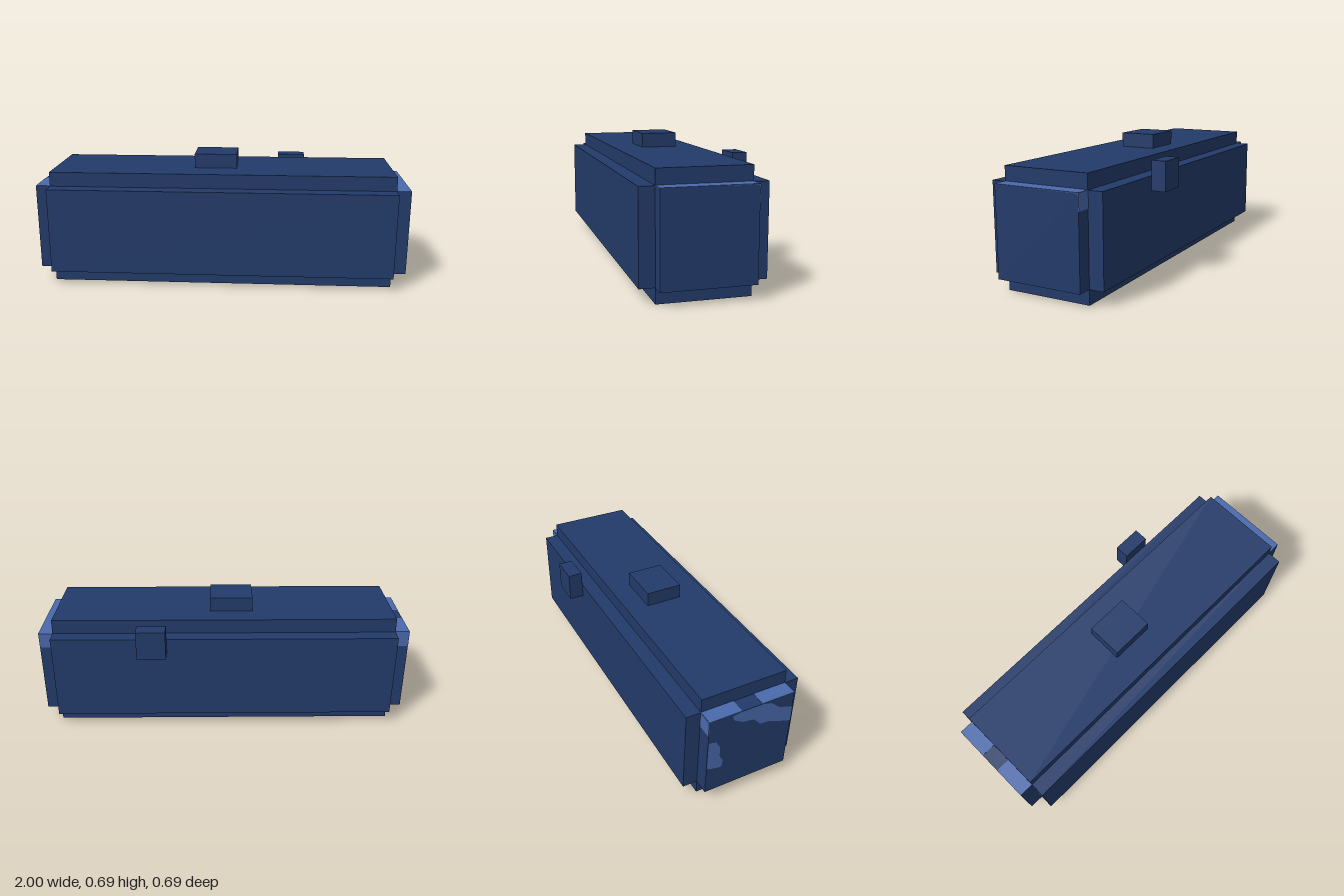
import * as THREE from 'three';

const U = 2 / 26; // one block unit
const T = 0.004; // thickness of painted plates

export function createModel() {
  const group = new THREE.Group();
  const navy = new THREE.MeshStandardMaterial({ name: 'navy blue', color: 0x233b6a });
  const light = new THREE.MeshStandardMaterial({ name: 'light blue', color: 0x4a69ad });

  // box given by its lowest and highest corners
  function box(name, material, a, b) {
    const size = b.map((v, i) => v - a[i]);
    const mesh = new THREE.Mesh(new THREE.BoxGeometry(...size), material);
    mesh.position.set(...a.map((v, i) => v + size[i] / 2));
    mesh.name = name;
    group.add(mesh);
  }
  const blocks = (name, a, b) => box(name, navy, a.map(v => v * U), b.map(v => v * U));

  // main body with raised panels on the four sides
  blocks('body', [-12, 0, -2.5], [12, 8, 3.5]);
  blocks('frontPanel', [-12, 1, 3.5], [12, 7, 4.5]);
  blocks('backPanel', [-12, 1, -3.5], [12, 7, -2.5]);
  blocks('leftEndPanel', [12, 1, -2.5], [13, 7, 3.5]);
  blocks('rightEndPanel', [-13, 1, -2.5], [-12, 7, 3.5]);

  // knobs on the top and the back
  blocks('topKnob', [-2, 8, -1], [1, 9, 1.5]);
  blocks('backKnob', [4, 6, -4.5], [6, 8, -3.5]);

  // light paint on the upper edges of the end panels
  const top = 7 * U, back = -2.5 * U, front = 3.5 * U, inner = 12 * U;
  const paintTop = (x, z0, z1) =>
    box('topEdgePaint', light, [x, top - T / 2, z0], [x + U, top + T / 2, z1]);
  paintTop(inner, back, front);
  paintTop(-1, back, -0.02);
  paintTop(-1, 0.09, front);

  // light paint at the upper back corners of the end panels
  for (const x of [inner, -1]) {
    box('cornerPaint', light, [x, 0.455, back - T / 2], [x + U, top, back + T / 2]);
  }

  // worn patches on the right end, outlined as (z, y)
  const patches = [
    [[-0.07, 0.53], [-0.02, 0.538], [0.09, 0.538], [0.14, 0.525], [0.19, 0.48], [0.27, 0.45],
      [0.27, 0.36], [0.2, 0.385], [0.14, 0.41], [0.09, 0.415], [0.05, 0.46], [-0.01, 0.47], [-0.06, 0.5]],
    [[-0.19, 0.41], [-0.15, 0.4], [-0.125, 0.355], [-0.125, 0.3], [-0.105, 0.26], [-0.11, 0.22],
      [-0.15, 0.225], [-0.19, 0.24]],
  ];
  for (const outline of patches) {
    const shape = new THREE.Shape(outline.map(([z, y]) => new THREE.Vector2(z, y)));
    const mesh = new THREE.Mesh(new THREE.ShapeGeometry(shape), light);
    mesh.rotation.y = -Math.PI / 2;
    mesh.position.x = -1 - T / 2;
    mesh.name = 'endPatch';
    group.add(mesh);
  }
  return group;
}
